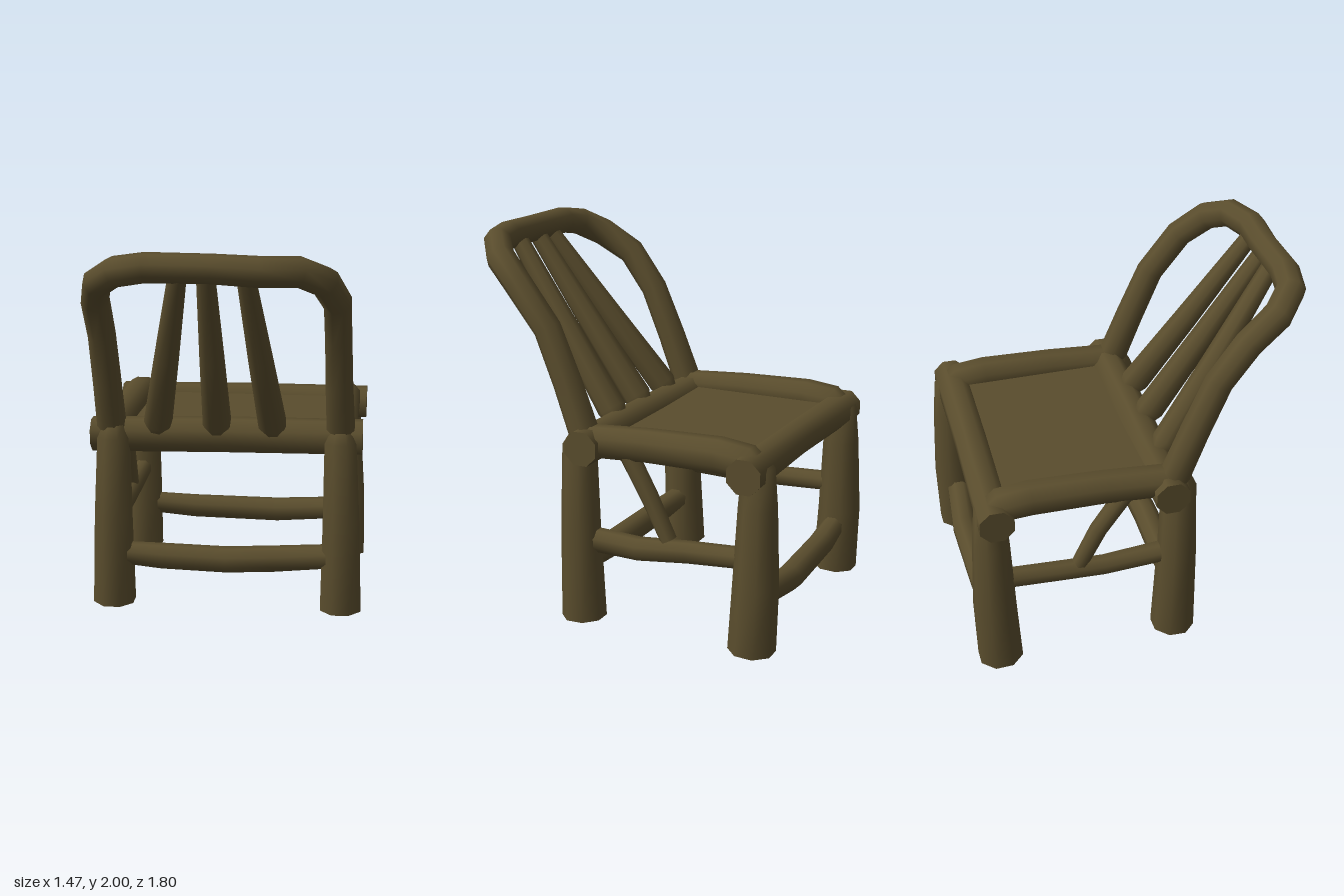
import * as THREE from 'three';

const wood = new THREE.MeshStandardMaterial({ color: 0x5a4d2d });
wood.name = 'olive brown wood';

// Sweeps an eight-sided section along points given as [x, y, z, radius], with flat end caps.
function logGeometry(points, sides = 8) {
  const centres = points.map(p => new THREE.Vector3(p[0], p[1], p[2]));
  const positions = [], index = [];
  const last = points.length - 1;
  const normal = new THREE.Vector3();
  const previous = new THREE.Vector3();
  const rotation = new THREE.Quaternion();
  const rings = [];

  for (let i = 0; i <= last; i++) {
    const before = centres[i].clone().sub(centres[Math.max(i - 1, 0)]).normalize();
    const after = centres[Math.min(i + 1, last)].clone().sub(centres[i]).normalize();
    const tangent = before.add(after).normalize();
    if (i === 0) {
      const helper = Math.abs(tangent.y) > 0.8 ? new THREE.Vector3(0, 0, 1) : new THREE.Vector3(0, 1, 0);
      normal.crossVectors(helper, tangent).normalize();
    } else {
      normal.applyQuaternion(rotation.setFromUnitVectors(previous, tangent));
    }
    const binormal = new THREE.Vector3().crossVectors(tangent, normal);
    previous.copy(tangent);
    const ring = [];
    for (let j = 0; j < sides; j++) {
      const a = (j + 0.5) / sides * Math.PI * 2;
      const v = centres[i].clone()
        .addScaledVector(normal, Math.cos(a) * points[i][3])
        .addScaledVector(binormal, Math.sin(a) * points[i][3]);
      ring.push(v);
      positions.push(v.x, v.y, v.z);
    }
    rings.push(ring);
  }
  for (let i = 0; i < last; i++) {
    for (let j = 0; j < sides; j++) {
      const k = (j + 1) % sides;
      const a = i * sides + j, b = i * sides + k;
      index.push(a, b, b + sides, a, b + sides, a + sides);
    }
  }
  // End caps use their own vertices so the rims stay sharp
  for (const end of [0, last]) {
    const start = positions.length / 3;
    rings[end].forEach(v => positions.push(v.x, v.y, v.z));
    for (let j = 1; j < sides - 1; j++) {
      if (end === 0) index.push(start, start + j + 1, start + j);
      else index.push(start, start + j, start + j + 1);
    }
  }
  const geometry = new THREE.BufferGeometry();
  geometry.setAttribute('position', new THREE.Float32BufferAttribute(positions, 3));
  geometry.setIndex(index);
  geometry.computeVertexNormals();
  return geometry;
}

export function createModel() {
  const chair = new THREE.Group();
  chair.name = 'logChair';

  function addLog(name, points) {
    const mesh = new THREE.Mesh(logGeometry(points), wood);
    mesh.name = name;
    chair.add(mesh);
  }

  // Legs under the backrest, with rounded tops
  for (const [name, s] of [['rightBackrestLeg', -1], ['leftBackrestLeg', 1]]) {
    addLog(name, [
      [s * 0.62, 0, 0.18, 0.118], [s * 0.615, 0.5, 0.195, 0.104],
      [s * 0.605, 0.93, 0.2, 0.09], [s * 0.605, 1.0, 0.19, 0.055],
    ]);
  }

  // Seat-edge legs bend at the top into the side rails
  for (const [name, s] of [['rightLegAndSideRail', -1], ['leftLegAndSideRail', 1]]) {
    addLog(name, [
      [s * 0.62, 0, -0.775, 0.122], [s * 0.62, 0.35, -0.79, 0.116],
      [s * 0.61, 0.75, -0.79, 0.098], [s * 0.605, 0.92, -0.785, 0.092],
      [s * 0.605, 0.975, -0.72, 0.092], [s * 0.605, 0.99, -0.58, 0.092],
      [s * 0.607, 0.985, -0.2, 0.088], [s * 0.61, 0.965, 0.16, 0.086],
    ]);
  }

  // Cross rails with protruding ends
  addLog('frontSeatRail', [
    [-0.72, 0.925, -0.77, 0.095], [0, 0.94, -0.765, 0.09], [0.73, 0.935, -0.76, 0.095],
  ]);
  addLog('backSeatRail', [
    [-0.73, 0.93, 0.135, 0.095], [0, 0.945, 0.135, 0.097], [0.72, 0.95, 0.135, 0.095],
  ]);

  // Bent backrest hoop
  addLog('backrestHoop', [
    [-0.62, 0.98, 0.165, 0.08], [-0.62, 1.25, 0.27, 0.076], [-0.62, 1.52, 0.385, 0.073],
    [-0.62, 1.72, 0.53, 0.074], [-0.575, 1.83, 0.69, 0.077], [-0.47, 1.9, 0.79, 0.077],
    [-0.32, 1.925, 0.815, 0.075], [0, 1.923, 0.815, 0.073], [0.22, 1.915, 0.835, 0.076],
    [0.41, 1.91, 0.78, 0.076], [0.53, 1.85, 0.69, 0.077], [0.587, 1.73, 0.55, 0.074],
    [0.59, 1.52, 0.385, 0.073], [0.595, 1.25, 0.27, 0.076], [0.605, 0.98, 0.165, 0.08],
  ]);

  // Tapered backrest spindles fan upward
  const spindles = [[-0.375, -0.165], [-0.05, -0.03], [0.25, 0.16]];
  spindles.forEach(([bottom, top], i) => {
    const at = t => bottom + (top - bottom) * t;
    addLog('backrestSpindle' + (i + 1), [
      [bottom, 0.97, 0.165, 0.05], [at(0.06), 1.03, 0.205, 0.078],
      [at(0.5), 1.43, 0.49, 0.065], [top, 1.89, 0.81, 0.047],
    ]);
  });

  // Lower stretchers between the legs
  addLog('backStretcher', [
    [-0.6, 0.28, 0.19, 0.06], [-0.35, 0.27, 0.2, 0.07], [0, 0.265, 0.21, 0.071],
    [0.25, 0.275, 0.2, 0.071], [0.6, 0.3, 0.19, 0.065],
  ]);
  addLog('frontStretcher', [
    [-0.6, 0.27, -0.78, 0.06], [-0.3, 0.245, -0.8, 0.068], [0.2, 0.235, -0.81, 0.07],
    [0.6, 0.27, -0.78, 0.065],
  ]);
  addLog('leftStretcher', [
    [0.6, 0.43, 0.17, 0.065], [0.61, 0.425, -0.14, 0.062],
    [0.61, 0.455, -0.42, 0.058], [0.61, 0.48, -0.78, 0.055],
  ]);
  addLog('rightStretcher', [
    [-0.6, 0.5, 0.17, 0.06], [-0.61, 0.48, -0.2, 0.055],
    [-0.61, 0.49, -0.45, 0.055], [-0.61, 0.505, -0.78, 0.055],
  ]);

  // Diagonal braces from the side rails down to the stretchers
  for (const [name, s, shift] of [['rightBrace', -1, -0.03], ['leftBrace', 1, 0]]) {
    addLog(name, [
      [s * 0.61, 0.95, -0.07, 0.05], [s * 0.61, 0.72, -0.2 + shift, 0.047],
      [s * 0.61, 0.5, -0.31 + shift, 0.043],
    ]);
  }

  // Flat seat panel
  const seat = new THREE.Mesh(new THREE.BoxGeometry(1.16, 0.02, 0.88), wood);
  seat.name = 'seatPanel';
  seat.position.set(0, 0.97, -0.315);
  chair.add(seat);

  return chair;
}
